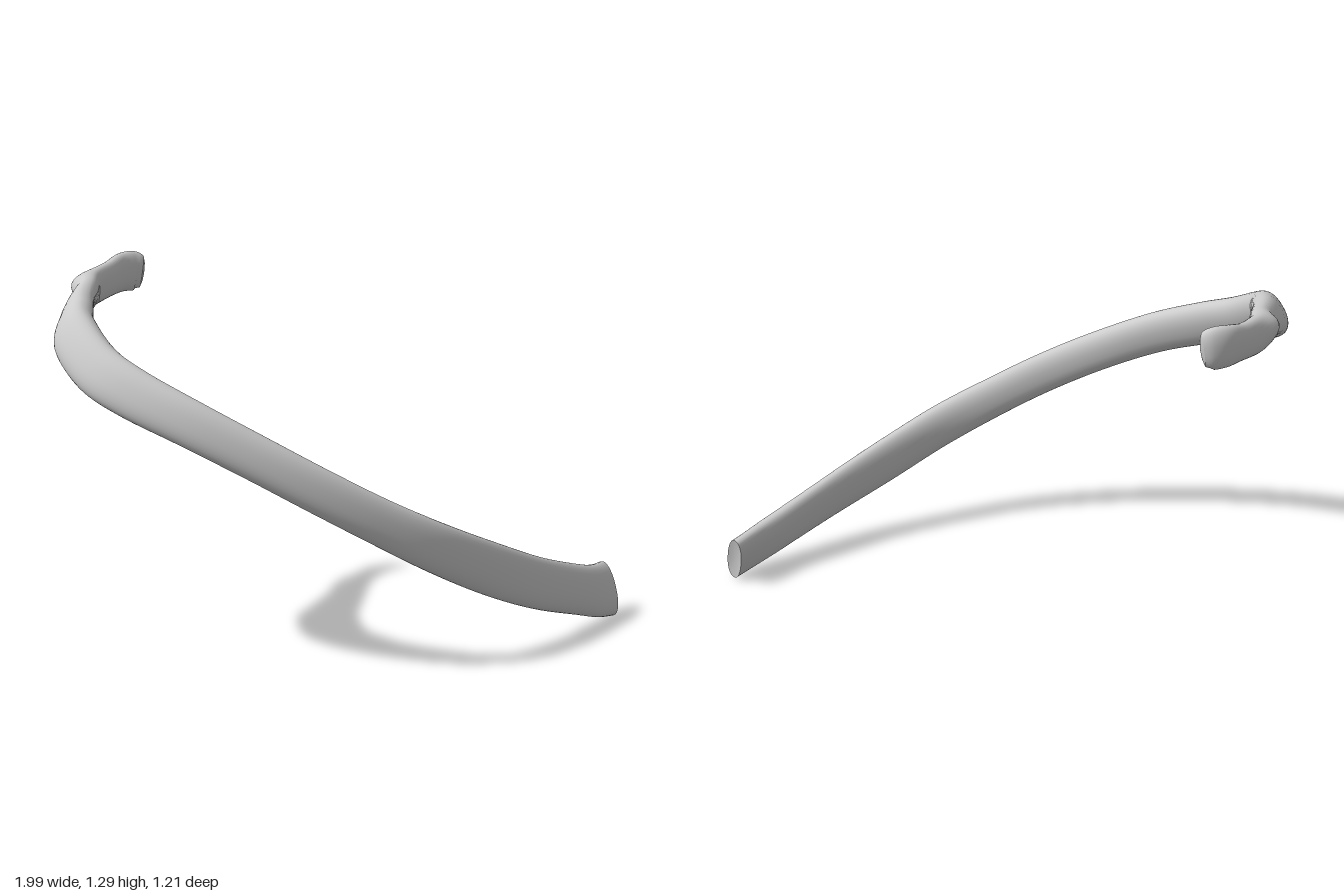
import * as THREE from 'three';

// Stations along the rib, front end to head:
// x, y, z of the centre, half height, half thickness, inward tilt in degrees
const STATIONS = [
  [0.96, 0.1, 0.08, 0.1, 0.036, 20],
  [0.89, 0.115, 0.15, 0.095, 0.036, 16],
  [0.8, 0.145, 0.22, 0.09, 0.037, 12],
  [0.6, 0.22, 0.36, 0.09, 0.035, 8],
  [0.4, 0.31, 0.46, 0.09, 0.036, 4],
  [0.2, 0.41, 0.535, 0.084, 0.04, 2],
  [0, 0.515, 0.557, 0.077, 0.041, 0],
  [-0.2, 0.625, 0.545, 0.075, 0.041, 2],
  [-0.4, 0.735, 0.495, 0.075, 0.044, 6],
  [-0.6, 0.84, 0.415, 0.078, 0.045, 12],
  [-0.77, 0.925, 0.3, 0.084, 0.048, 20],
  [-0.87, 0.99, 0.18, 0.088, 0.052, 28],
  [-0.925, 1.075, 0.02, 0.088, 0.055, 33],
  [-0.91, 1.125, -0.1, 0.076, 0.05, 30],
  [-0.885, 1.155, -0.2, 0.066, 0.044, 22],
  [-0.85, 1.175, -0.31, 0.063, 0.038, 12],
  [-0.815, 1.188, -0.41, 0.064, 0.034, 4],
  [-0.755, 1.203, -0.5, 0.063, 0.031, 0],
  [-0.705, 1.217, -0.56, 0.07, 0.032, 0],
  [-0.66, 1.22, -0.582, 0.072, 0.03, 0],
  [-0.628, 1.215, -0.583, 0.058, 0.022, 0],
];
const RINGS = 160, SIDES = 32;
const TUBERCLE = new THREE.Vector3(-0.885, 1.2, -0.375);

// Round, slightly flattened outline of one cross-section
const soft = (v) => Math.sign(v) * Math.pow(Math.abs(v), 0.88);

function ribRings() {
  const curve = (cols) => new THREE.CatmullRomCurve3(
    STATIONS.map((s) => new THREE.Vector3(s[cols], s[cols + 1], s[cols + 2])), false, 'catmullrom', 0.5);
  const path = curve(0), sizes = curve(3), rings = [];
  for (let i = 0; i <= RINGS; i++) {
    const c = path.getPoint(i / RINGS), size = sizes.getPoint(i / RINGS);
    const tangent = path.getTangent(i / RINGS);
    const up = new THREE.Vector3(0, 1, 0).addScaledVector(tangent, -tangent.y).normalize();
    up.applyAxisAngle(tangent, THREE.MathUtils.degToRad(size.z));
    const inward = new THREE.Vector3().crossVectors(tangent, up);
    const ring = [];
    for (let j = 0; j < SIDES; j++) {
      const a = (j / SIDES) * Math.PI * 2;
      const p = c.clone()
        .addScaledVector(up, soft(Math.cos(a)) * size.x)
        .addScaledVector(inward, soft(Math.sin(a)) * size.y);
      // Tubercle swelling on the outer side of the neck
      const w = Math.exp(-p.distanceToSquared(TUBERCLE) / (2 * 0.04 ** 2));
      p.x -= 0.038 * w;
      p.y += 0.008 * w;
      ring.push(p);
    }
    rings.push(ring);
  }
  return rings;
}

function buildGeometry(points, index) {
  const g = new THREE.BufferGeometry().setFromPoints(points);
  g.setIndex(index);
  g.computeVertexNormals();
  return g;
}

function shaftGeometry(rings) {
  const index = [];
  for (let i = 0; i < RINGS; i++) {
    for (let j = 0; j < SIDES; j++) {
      const k = (j + 1) % SIDES;
      const a = i * SIDES + j, b = i * SIDES + k;
      index.push(a, b, a + SIDES, b, b + SIDES, a + SIDES);
    }
  }
  return buildGeometry(rings.flat(), index);
}

// End face as a fan; depth dents (negative) or domes (positive) its centre
function capGeometry(ring, outward, depth, flip) {
  const centre = new THREE.Vector3();
  ring.forEach((p) => centre.addScaledVector(p, 1 / SIDES));
  const mid = ring.map((p) => p.clone().lerp(centre, 0.4).addScaledVector(outward, depth * 0.7));
  const index = [];
  for (let j = 0; j < SIDES; j++) {
    const k = (j + 1) % SIDES;
    const tris = [[j, k, SIDES + j], [k, SIDES + k, SIDES + j], [SIDES + j, SIDES + k, 2 * SIDES]];
    for (const [a, b, c] of tris) index.push(...(flip ? [a, c, b] : [a, b, c]));
  }
  return buildGeometry([...ring, ...mid, centre.addScaledVector(outward, depth)], index);
}

export function createModel() {
  const group = new THREE.Group();
  group.name = 'ribBone';
  const material = new THREE.MeshStandardMaterial({ color: 0xcccccc });
  const add = (name, geometry) => {
    const mesh = new THREE.Mesh(geometry, material);
    mesh.name = name;
    group.add(mesh);
  };

  const rings = ribRings();
  add('ribShaft', shaftGeometry(rings));
  add('frontEndFace', capGeometry(rings[0], new THREE.Vector3(0.7, -0.1, -0.7), -0.006, true));
  add('headFace', capGeometry(rings[RINGS], new THREE.Vector3(1, -0.1, 0), 0.01, false));
  return group;
}
